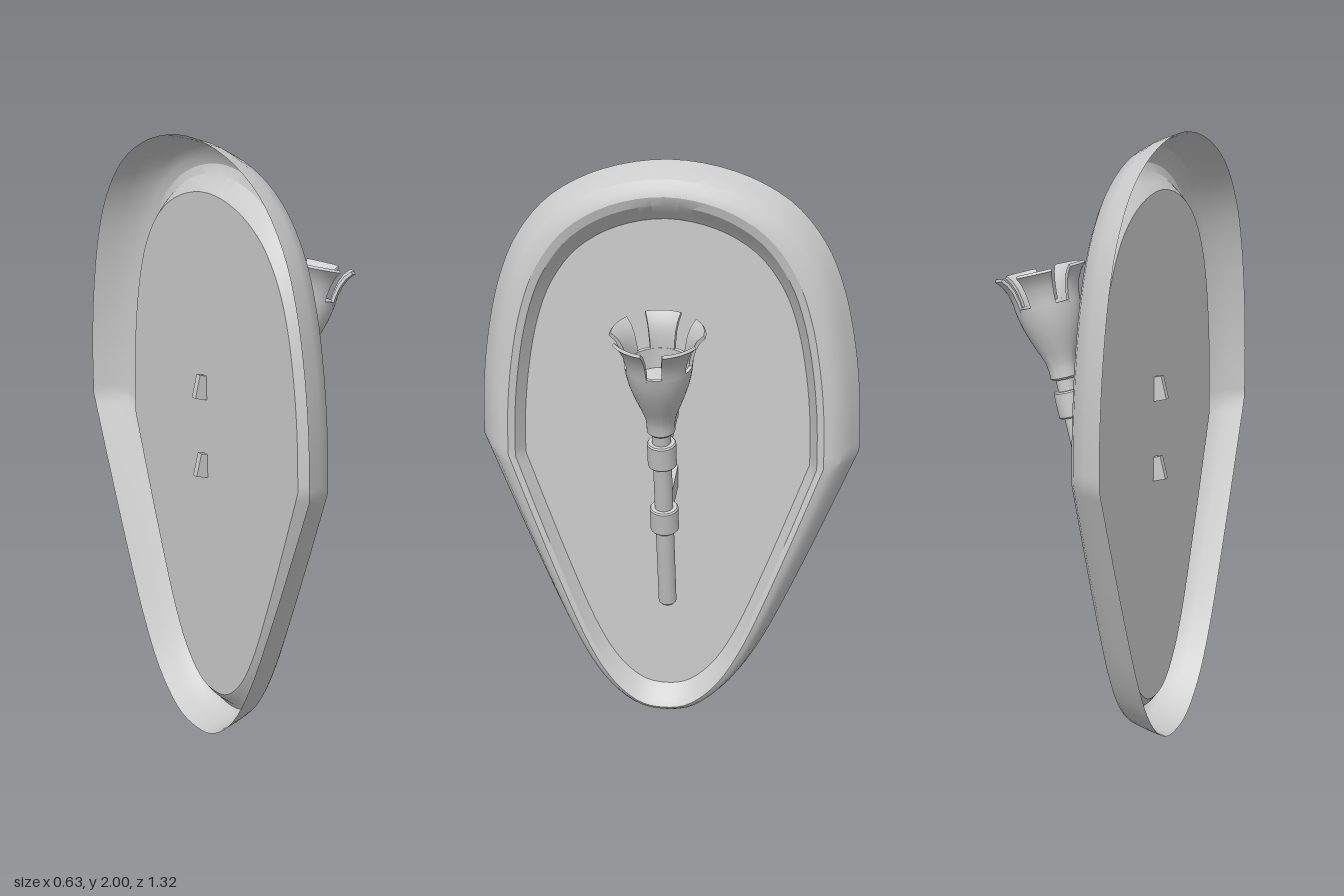
import * as THREE from 'three';
import { toCreasedNormals, mergeGeometries } from 'three/addons/utils/BufferGeometryUtils.js';

const solid = new THREE.MeshStandardMaterial({ color: 0xcccccc });
const thin = new THREE.MeshStandardMaterial({ color: 0xcccccc, side: THREE.DoubleSide });

function add(parent, name, geometry, material = solid) {
  const mesh = new THREE.Mesh(geometry, material);
  mesh.name = name;
  parent.add(mesh);
  return mesh;
}

const v2 = ([a, b]) => new THREE.Vector2(a, b);

// Spline through half-width/height pairs mirrored about the middle one
function mirroredArc(half, divisions) {
  const other = half.slice(1).map(([z, y]) => [-z, y]).reverse();
  return new THREE.SplineCurve([...other, ...half].map(v2)).getPoints(divisions);
}

// Egg-shaped outline, counter-clockwise seen from +x
function plateOutline() {
  const upper = mirroredArc([[0, 2], [0.22, 1.965], [0.4, 1.875], [0.52, 1.74], [0.59, 1.58],
    [0.633, 1.39], [0.655, 1.2], [0.66, 1.02]], 56);
  const lower = mirroredArc([[0, 0], [0.12, 0.025], [0.24, 0.125], [0.345, 0.29], [0.46, 0.54],
    [0.57, 0.8], [0.66, 1.02]], 48).reverse();
  return [...upper.slice(0, -1), ...lower.slice(0, -1)];
}

// Open-backed dished plate: rings from the rear edge over the rim to the recessed panel
function plateGeometry() {
  const outline = plateOutline();
  const n = outline.length;
  const rings = [ // x, width scale, bottom, top
    [-0.305, 1, 0, 2],
    [-0.245, 0.96, 0.012, 1.98],
    [-0.195, 0.91, 0.025, 1.953],
    [-0.177, 0.865, 0.035, 1.925],
    [-0.17, 0.825, 0.045, 1.9],
    [-0.18, 0.79, 0.062, 1.87],
    [-0.212, 0.765, 0.09, 1.84],
    [-0.23, 0.75, 0.115, 1.818],
  ];
  const positions = [];
  const index = [];
  rings.forEach(([x, s, bottom, top], r) => {
    outline.forEach((p, i) => {
      positions.push(x, bottom + p.y * (top - bottom) / 2, p.x * s);
      if (r === 0) return;
      const j = (i + 1) % n;
      const a = (r - 1) * n, b = r * n;
      index.push(a + i, a + j, b + j, a + i, b + j, b + i);
    });
  });
  // Flat panel
  const last = (rings.length - 1) * n;
  const centre = rings.length * n;
  positions.push(-0.23, 1, 0);
  for (let i = 0; i < n; i++) index.push(centre, last + i, last + (i + 1) % n);
  const g = new THREE.BufferGeometry();
  g.setAttribute('position', new THREE.Float32BufferAttribute(positions, 3));
  g.setIndex(index);
  return toCreasedNormals(g, 0.5);
}

// Flared petal: a slice of a lathed wall with both ends capped
function petalGeometry(phi, width) {
  const profile = [[0.108, 0.945], [0.111, 0.975], [0.12, 1.01], [0.134, 1.038], [0.152, 1.058],
    [0.146, 1.066], [0.125, 1.045], [0.11, 1.015], [0.1, 0.975], [0.097, 0.945]].map(v2);
  const wall = new THREE.LatheGeometry([...profile, profile[0]], 8, phi - width / 2, width);
  const caps = [-1, 1].map((side) =>
    new THREE.ShapeGeometry(new THREE.Shape(profile)).rotateY(phi + side * width / 2 - Math.PI / 2));
  const parts = [wall, ...caps].map((g) => g.toNonIndexed());
  return toCreasedNormals(mergeGeometries(parts), 0.8);
}

export function createModel() {
  const model = new THREE.Group();
  model.name = 'wallSconce';

  add(model, 'wallPlate', plateGeometry(), thin);

  // Torch and its brackets, leaning out from the plate
  const torch = new THREE.Group();
  torch.name = 'torch';
  torch.position.set(-0.078, 0.512, -0.027);
  torch.rotation.z = -Math.atan2(0.243, 0.97);
  model.add(torch);

  const shaft = [[0, 0], [0.025, 0], [0.031, 0.008], [0.031, 0.72], [0, 0.72]];
  add(torch, 'shaft', toCreasedNormals(new THREE.LatheGeometry(shaft.map(v2), 20), 0.6));

  // Bowl with collar at its base and a floor inside
  const bowl = [[0, 0.7], [0.04, 0.7], [0.046, 0.707], [0.046, 0.735], [0.05, 0.76], [0.063, 0.795],
    [0.081, 0.84], [0.096, 0.885], [0.105, 0.925], [0.109, 0.955], [0.097, 0.955],
    [0.093, 0.925], [0.085, 0.89], [0, 0.89]];
  add(torch, 'bowl', toCreasedNormals(new THREE.LatheGeometry(bowl.map(v2), 40), 0.6));

  for (let i = 0; i < 5; i++) {
    const phi = -Math.PI / 2 + i * Math.PI * 2 / 5;
    add(torch, 'petal' + (i + 1), petalGeometry(phi, 0.8), thin);
  }

  // Clamp rings and straps that pass through the panel
  const clampProfile = [[0.028, -0.045], [0.044, -0.045], [0.048, -0.04], [0.048, 0.04],
    [0.044, 0.045], [0.028, 0.045]].map(v2);
  for (const [label, height, reach] of [['upper', 0.616, 0.345], ['lower', 0.358, 0.28]]) {
    const clamp = add(torch, label + 'Clamp',
      toCreasedNormals(new THREE.LatheGeometry(clampProfile, 20), 0.5));
    clamp.position.y = height;
    const length = reach - 0.035;
    const strap = add(torch, label + 'Strap', new THREE.BoxGeometry(length, 0.078, 0.022));
    strap.position.set(-0.035 - length / 2, height, -0.004);
  }
  return model;
}
